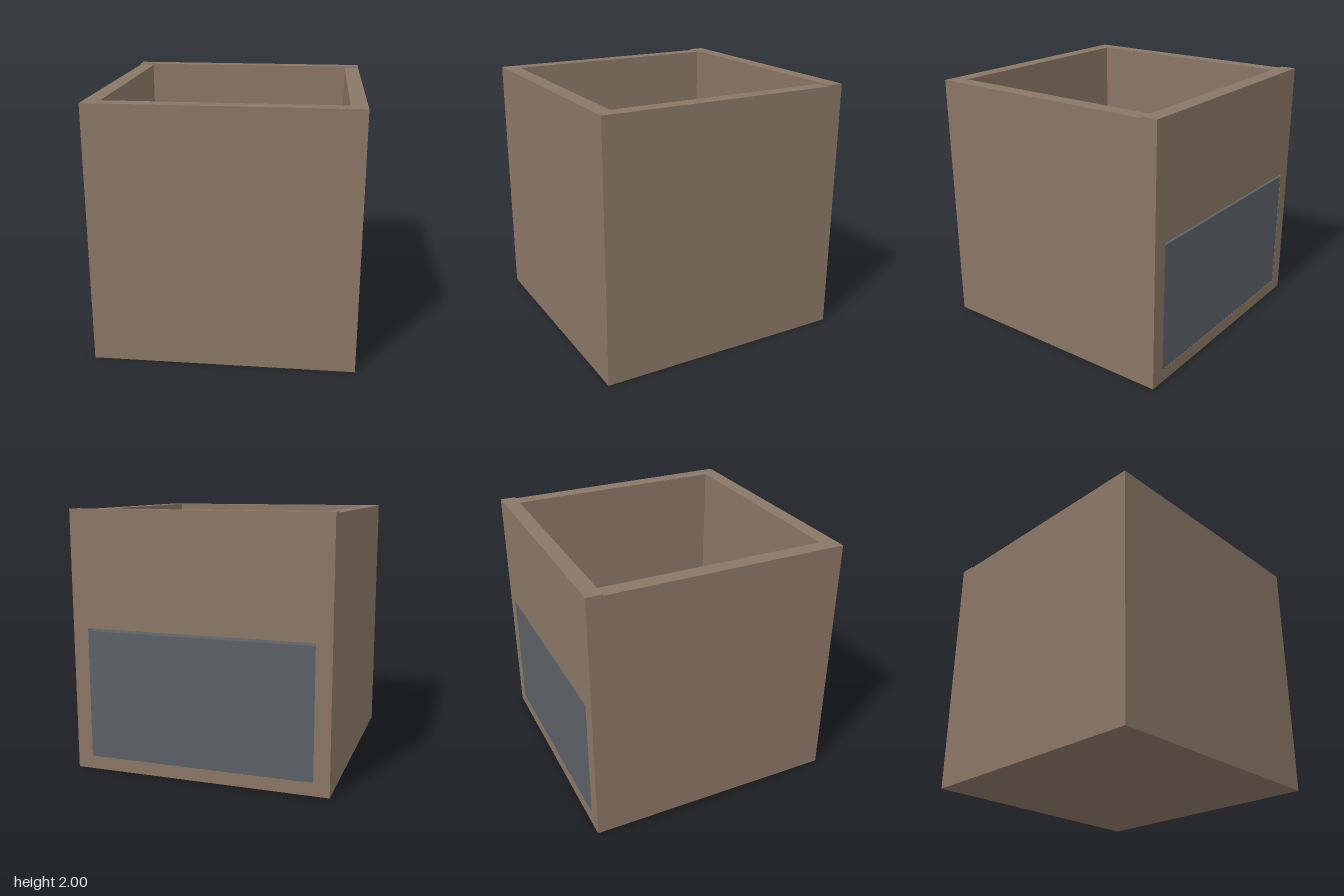
import * as THREE from 'three';

const HALF = 0.995;      // half outer width and depth
const INNER = 0.875;     // half inner width and depth
const WALL = HALF - INNER;

// Closed outline from corner points
function outline(points, Type = THREE.Shape) {
  return new Type(points.map(([x, y]) => new THREE.Vector2(x, y)));
}

export function createModel() {
  const model = new THREE.Group();
  const brown = new THREE.MeshStandardMaterial({ color: 0x8a7665 });
  brown.name = 'brownWall';
  const slate = new THREE.MeshStandardMaterial({ color: 0x5b6066 });
  slate.name = 'slateDoor';

  function add(name, geometry, material, x, y, z) {
    const mesh = new THREE.Mesh(geometry, material);
    mesh.name = name;
    mesh.position.set(x, y, z);
    model.add(mesh);
    return mesh;
  }

  // Front and side walls: one U-shaped plan extruded upwards
  const plan = outline([
    [-HALF, INNER], [-HALF, -HALF], [HALF, -HALF], [HALF, INNER],
    [INNER, INNER], [INNER, -INNER], [-INNER, -INNER], [-INNER, INNER],
  ]);
  const walls = new THREE.ExtrudeGeometry(plan, { depth: 1.99, bevelEnabled: false });
  walls.rotateX(-Math.PI / 2);
  add('frontAndSideWalls', walls, brown, 0, 0, 0);

  // Back wall, slightly taller, with a wide door opening
  const back = outline([[-HALF, 0], [HALF, 0], [HALF, 2], [-HALF, 2]]);
  back.holes.push(outline([
    [-INNER, 0.1], [-INNER, 1.11], [INNER, 1.11], [INNER, 0.1],
  ], THREE.Path));
  add('backWall', new THREE.ExtrudeGeometry(back, { depth: WALL, bevelEnabled: false }),
    brown, 0, 0, -HALF);

  // Floor inside the walls
  add('floor', new THREE.BoxGeometry(2 * INNER, 0.1, 2 * INNER), brown, 0, 0.05, 0);

  // Door panel filling the opening, with a narrow gap at the top
  add('door', new THREE.BoxGeometry(2 * INNER, 0.99, WALL - 0.004), slate,
    0, 0.595, -HALF + WALL / 2);

  return model;
}
